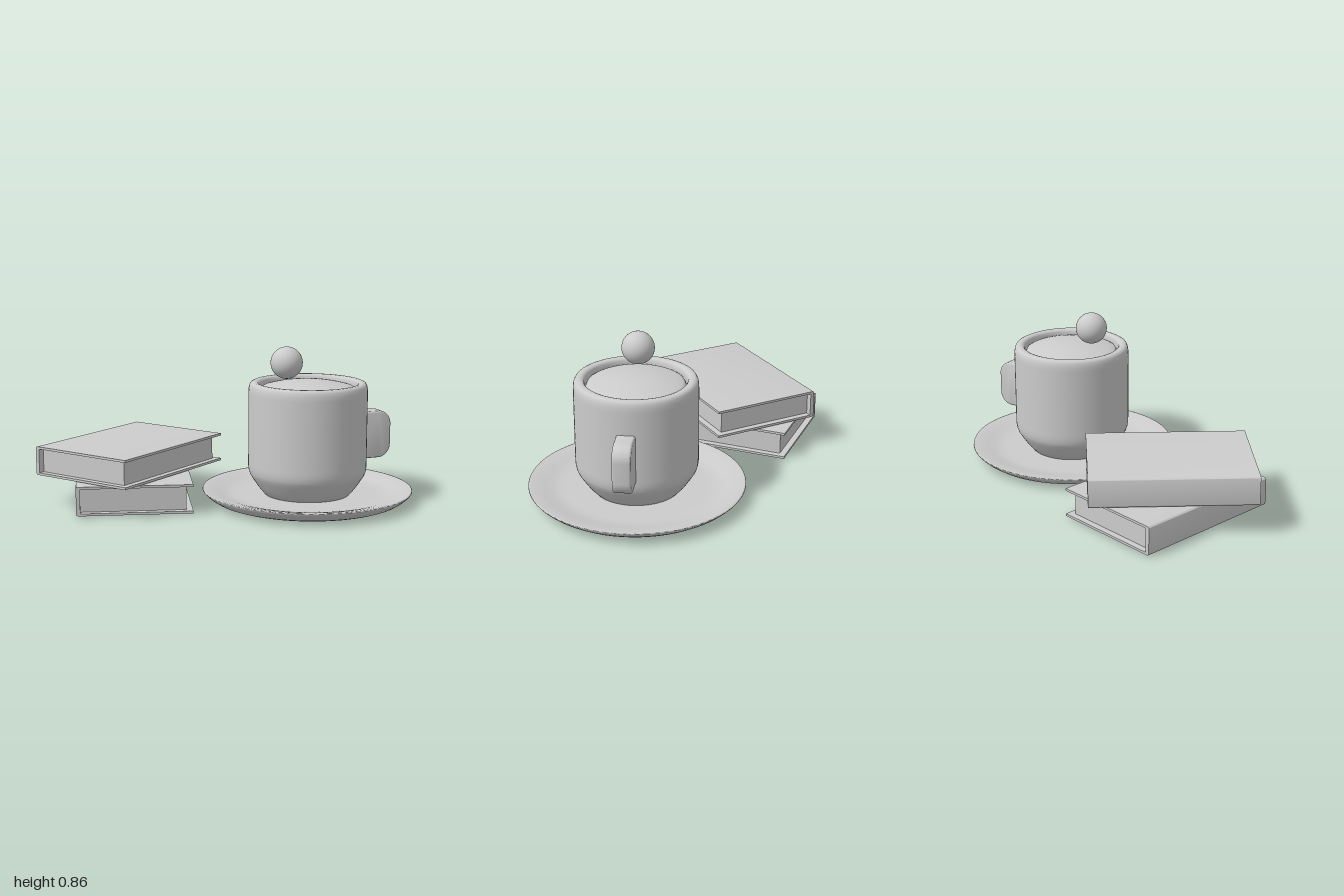
import * as THREE from 'three';
import { toCreasedNormals } from 'three/addons/utils/BufferGeometryUtils.js';

const clay = new THREE.MeshStandardMaterial({ color: 0xcccccc });
clay.name = 'light grey';

function mesh(name, geometry, x = 0, y = 0, z = 0) {
  const m = new THREE.Mesh(geometry, clay);
  m.name = name;
  m.position.set(x, y, z);
  return m;
}

function lathe(name, profile) {
  return mesh(name, new THREE.LatheGeometry(profile.map(([r, y]) => new THREE.Vector2(r, y)), 72));
}

// Rectangle outline with rounded corners on its +x side
function halfRounded(path, x0, y0, x1, y1, r) {
  path.moveTo(x0, y0);
  path.lineTo(x1 - r, y0);
  path.absarc(x1 - r, y0 + r, r, -Math.PI / 2, 0, false);
  path.lineTo(x1, y1 - r);
  path.absarc(x1 - r, y1 - r, r, 0, Math.PI / 2, false);
  path.lineTo(x0, y1);
  path.closePath();
  return path;
}

// Hardback book: C-shaped cover with its spine at local -z, and a recessed page block
function makeBook(name, x, y, z, turn) {
  const length = 0.864, depth = 0.618, height = 0.157, board = 0.013, spine = 0.022, inset = 0.035;
  const book = new THREE.Group();
  book.name = name;
  book.position.set(x, y, z);
  book.rotation.y = turn;

  const h = depth / 2, r = 0.012;
  const profile = new THREE.Shape();
  profile.moveTo(-h, 0);
  profile.lineTo(h - r, 0);
  profile.absarc(h - r, r, r, -Math.PI / 2, 0, false);
  profile.lineTo(h, height - r);
  profile.absarc(h - r, height - r, r, 0, Math.PI / 2, false);
  profile.lineTo(-h, height);
  profile.lineTo(-h, height - board);
  profile.lineTo(h - spine, height - board);
  profile.lineTo(h - spine, board);
  profile.lineTo(-h, board);
  profile.closePath();
  const cover = new THREE.ExtrudeGeometry(profile, { depth: length, bevelEnabled: false, curveSegments: 5 });
  cover.translate(0, 0, -length / 2).rotateY(Math.PI / 2);
  book.add(mesh('cover', toCreasedNormals(cover, 0.6)));

  const pageDepth = depth - inset - spine + 0.004;
  const pages = new THREE.BoxGeometry(length - 2 * inset, height - 2 * board + 0.004, pageDepth);
  book.add(mesh('pages', pages, 0, height / 2, h - inset - pageDepth / 2));
  return book;
}

export function createModel() {
  const model = new THREE.Group();
  model.name = 'cupAndBooks';

  // Stacked books
  model.add(makeBook('lowerBook', -0.459, 0.006, -0.255, 1.306));
  model.add(makeBook('upperBook', -0.468, 0.168, -0.245, 0.598));

  // Everything round shares the cup's axis
  const tea = new THREE.Group();
  tea.name = 'cupAndSaucer';
  tea.position.set(0.419, 0, 0.168);
  model.add(tea);

  tea.add(lathe('saucer', [
    [0, 0], [0.4, 0], [0.455, 0.002], [0.49, 0.008], [0.52, 0.019], [0.55, 0.039], [0.57, 0.057],
    [0.577, 0.066], [0.575, 0.071], [0.568, 0.072], [0.53, 0.066], [0.49, 0.057], [0.455, 0.047],
    [0.42, 0.042], [0.38, 0.04], [0, 0.04],
  ]));

  tea.add(lathe('cup', [
    [0, 0.035], [0.21, 0.035], [0.235, 0.042], [0.256, 0.065], [0.275, 0.09], [0.299, 0.126], [0.314, 0.15],
    [0.321, 0.169], [0.325, 0.195], [0.325, 0.22], [0.325, 0.6], [0.324, 0.625], [0.32, 0.645],
    [0.313, 0.656], [0.302, 0.661], [0.285, 0.661], [0.274, 0.657], [0.267, 0.648], [0.264, 0.63],
    [0.264, 0.6], [0.264, 0.5], [0, 0.5],
  ]));

  // Gently domed filling just inside the rim
  const dome = [[0, 0.56], [0.252, 0.56], [0.259, 0.575], [0.26, 0.6], [0.259, 0.618], [0.253, 0.63]];
  for (let i = 9; i >= 0; i--) {
    const r = 0.24 * i / 9;
    dome.push([r, 0.671 - 0.034 * (r / 0.24) ** 2]);
  }
  tea.add(lathe('filling', dome));

  // Handle: rounded loop whose inner end is buried in the cup wall
  const loop = halfRounded(new THREE.Shape(), 0.285, 0.216, 0.486, 0.481, 0.075);
  loop.holes.push(halfRounded(new THREE.Path(), 0.3, 0.286, 0.417, 0.414, 0.03));
  const bevel = 0.01;
  const handle = new THREE.ExtrudeGeometry(loop, {
    depth: 0.096 - 2 * bevel, bevelThickness: bevel, bevelSize: bevel, bevelOffset: -bevel,
    bevelSegments: 3, curveSegments: 10,
  });
  handle.translate(0, 0, bevel - 0.048);
  tea.add(mesh('handle', toCreasedNormals(handle, 0.7), 0, 0, 0.007));

  // Ball floating above the cup
  tea.add(mesh('ball', new THREE.SphereGeometry(0.087, 40, 24), -0.132, 0.773, 0.007));

  return model;
}
